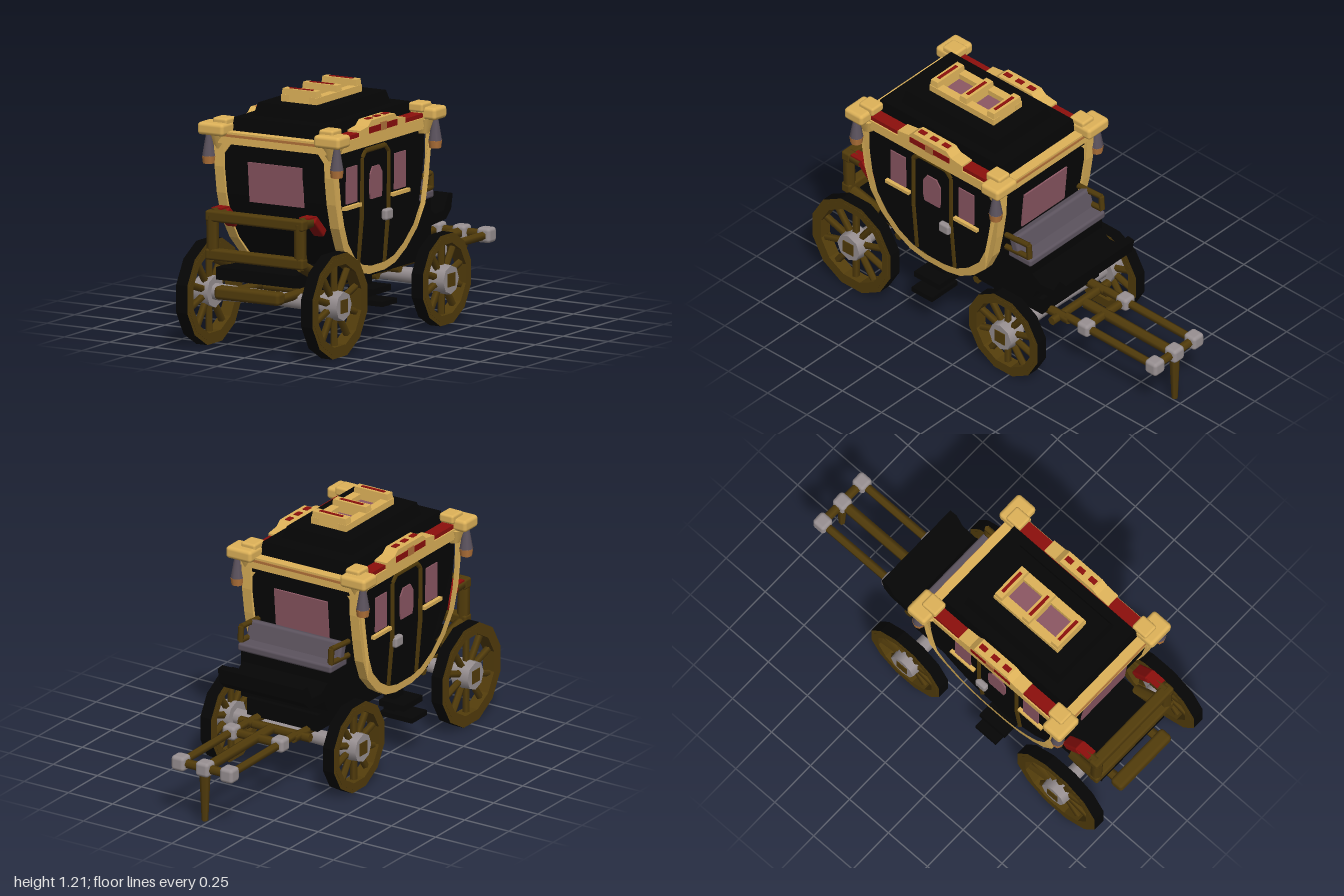
import * as THREE from 'three';
import { RoundedBoxGeometry } from 'three/addons/geometries/RoundedBoxGeometry.js';

const mat = (name, color) => Object.assign(new THREE.MeshStandardMaterial({ color }), { name });

export function createModel() {
  const root = new THREE.Group();
  root.name = 'carriage';
  const black = mat('black', 0x050505), gold = mat('gold', 0xdeb259), brown = mat('brown', 0x523c0b);
  const pink = mat('rose glass', 0x8c5763), grey = mat('grey metal', 0x989092), red = mat('red', 0x8c0f0c);
  const mauve = mat('mauve', 0x5c535e), amber = mat('amber', 0xb4743a);
  const V = (x, y, z) => new THREE.Vector3(x, y, z);

  const add = (name, geo, m, x = 0, y = 0, z = 0, parent = root) => {
    const mesh = new THREE.Mesh(geo, m);
    mesh.name = name;
    mesh.position.set(x, y, z);
    parent.add(mesh);
    return mesh;
  };
  // box given by its limits, with optional rounded edges
  const box = (name, m, x0, x1, y0, y1, z0, z1, r = 0) => {
    const size = [Math.abs(x1 - x0), y1 - y0, z1 - z0];
    const geo = r ? new RoundedBoxGeometry(...size, 2, r) : new THREE.BoxGeometry(...size);
    return add(name, geo, m, (x0 + x1) / 2, (y0 + y1) / 2, (z0 + z1) / 2);
  };
  // straight rod between two points
  const bar = (name, m, a, b, r, n = 6, parent = root, r2 = r) => {
    const d = b.clone().sub(a), mid = a.clone().add(b).multiplyScalar(0.5);
    const mesh = add(name, new THREE.CylinderGeometry(r2, r, d.length(), n), m, mid.x, mid.y, mid.z, parent);
    mesh.quaternion.setFromUnitVectors(V(0, 1, 0), d.normalize());
    return mesh;
  };
  const path = (name, m, pts, r, n = 6) => {
    for (let i = 1; i < pts.length; i++) bar(name, m, pts[i - 1], pts[i], r, n);
  };
  // extrude a (z, y) outline across x, centred on x = 0
  const across = (shape, width) => new THREE.ExtrudeGeometry(shape, { depth: width, bevelEnabled: false })
    .rotateY(-Math.PI / 2).translate(width / 2, 0, 0);
  const shapeOf = pts => new THREE.Shape(pts.map(p => new THREE.Vector2(p[0], p[1])));
  // box tapering towards its top
  const frustum = (name, m, x, y0, y1, z0, z1, kx, kz) => {
    const g = new THREE.BoxGeometry(2 * x, y1 - y0, z1 - z0), p = g.attributes.position;
    for (let i = 0; i < p.count; i++) if (p.getY(i) > 0) p.setXYZ(i, p.getX(i) * kx, p.getY(i), p.getZ(i) * kz);
    g.computeVertexNormals();
    return add(name, g, m, 0, (y0 + y1) / 2, (z0 + z1) / 2);
  };

  // cabin: black core between two gold hoops, narrowing below the waist
  const profile = [[0.74, 1], [0.735, 0.85], [0.715, 0.72], [0.68, 0.6], [0.62, 0.49], [0.54, 0.405], [0.45, 0.35], [0.36, 0.33],
    [0.22, 0.33], [0.13, 0.35], [0.04, 0.405], [-0.045, 0.49], [-0.1, 0.6], [-0.125, 0.72], [-0.145, 0.85], [-0.15, 1]];
  const scaled = k => profile.map(([z, y]) => [0.295 + (z - 0.295) * k, 0.66 + (y - 0.66) * k]);
  const taper = y => (y < 0.62 ? 1 - 0.09 * (0.62 - y) / 0.29 : 1);
  const narrow = (g, dx) => {
    const p = g.attributes.position;
    for (let i = 0; i < p.count; i++) p.setX(i, (p.getX(i) + dx) * taper(p.getY(i)));
    g.computeVertexNormals();
    return g;
  };
  add('cabin', narrow(across(shapeOf(scaled(0.97)), 0.6), 0), black);
  for (const s of [1, -1]) {
    const hoop = shapeOf(profile);
    hoop.holes.push(new THREE.Path(scaled(0.88).map(p => new THREE.Vector2(p[0], p[1]))));
    add('cabinHoop', narrow(across(hoop, 0.05), s * 0.305), gold);

    // door frame, windows, sills and handle
    const X = 0.3 * s, low = 0.3 * s * taper(0.36);
    for (const z of [0.19, 0.43]) path('doorFrame', brown, [V(low, 0.36, z), V(X, 0.62, z), V(X, 0.9, z)], 0.013, 4);
    path('doorFrame', brown, [V(X, 0.9, 0.19), V(X, 0.93, 0.22), V(X, 0.93, 0.4), V(X, 0.9, 0.43)], 0.013, 4);
    for (const z of [0.525, 0.09]) {
      box('sideWindow', pink, s * 0.298, s * 0.306, 0.7, 0.875, z - 0.048, z + 0.048);
      box('windowSill', gold, s * 0.295, s * 0.315, 0.673, 0.69, z - 0.075, z + 0.075);
    }
    const pane = shapeOf([[0.26, 0.69], [0.355, 0.69], [0.362, 0.72], [0.362, 0.81], [0.34, 0.845], [0.28, 0.845], [0.255, 0.81], [0.255, 0.72]]);
    add('doorWindow', across(pane, 0.008), pink, s * 0.303);
    box('doorHandle', grey, s * 0.295, s * 0.328, 0.57, 0.625, 0.185, 0.25, 0.012);

    // gold cornice, red coping and arched parapet
    box('sideCornice', gold, s * 0.25, s * 0.335, 0.97, 1.015, -0.15, 0.74);
    box('redCoping', red, s * 0.264, s * 0.328, 1.01, 1.035, -0.08, 0.68);
    const arch = shapeOf([[0.5, 1.015], [0.5, 1.045], [0.43, 1.055], [0.4, 1.08], [0.19, 1.08], [0.16, 1.055], [0.09, 1.045], [0.09, 1.015]]);
    add('parapet', across(arch, 0.07), gold, s * 0.3);
    box('parapetPanel', red, s * 0.33, s * 0.338, 1.02, 1.05, 0.17, 0.42);
    box('parapetBadge', amber, s * 0.333, s * 0.341, 1.018, 1.058, 0.27, 0.32);
    for (const z of [0.22, 0.295, 0.37]) box('parapetInlay', red, s * 0.287, s * 0.313, 1.078, 1.084, z - 0.02, z + 0.02);

    for (const [z, d] of [[0.735, 1], [-0.135, -1]]) {
      // corner caps and hanging lanterns
      box('cornerCap', gold, s * 0.25, s * 0.395, 1.003, 1.064, z - 0.058, z + 0.058, 0.018);
      box('cornerTop', gold, s * 0.255, s * 0.335, 1.04, 1.085, z - 0.045 - d * 0.03, z + 0.045 - d * 0.03, 0.012);
      add('cornerNeck', new THREE.CylinderGeometry(0.055, 0.03, 0.07, 8), gold, s * 0.31, 0.97, z - d * 0.025);
      const L = [s * 0.355, z + d * 0.01];
      add('lanternBase', new THREE.CylinderGeometry(0.034, 0.029, 0.036, 8), amber, L[0], 0.88, L[1]);
      add('lanternGlass', new THREE.CylinderGeometry(0.02, 0.033, 0.076, 8), mauve, L[0], 0.936, L[1]);
      add('lanternNeck', new THREE.CylinderGeometry(0.014, 0.02, 0.035, 8), mauve, L[0], 0.99, L[1]);
      // gold corner brackets of the end walls
      const tri = new THREE.ExtrudeGeometry(shapeOf([[0.29 * s, 0.97], [0.235 * s, 0.97], [0.29 * s, 0.9]]), { depth: 0.02, bevelEnabled: false });
      add('cornerBracket', tri, gold, 0, 0, z - 0.012 - d * 0.012);
    }
  }
  // end walls
  for (const [z, d] of [[0.725, 1], [-0.125, -1]]) {
    box('endCornice', gold, -0.3, 0.3, 0.965, 1.022, z - 0.025, z + 0.025);
    box('corniceStripe', amber, -0.27, 0.27, 1.0, 1.012, z + d * 0.025 - 0.004, z + d * 0.025 + 0.004);
    const w = box('endWindow', pink, -0.15, 0.15, 0.69, 0.885, -0.004, 0.004);
    w.position.z = d > 0 ? 0.716 : -0.131;
    w.rotation.x = d * 0.09;
  }

  // stepped roof and skylight crown
  frustum('lowerRoof', black, 0.262, 1.0, 1.085, -0.1, 0.7, 0.95, 0.97);
  frustum('upperRoof', black, 0.2, 1.08, 1.147, 0.0, 0.6, 0.88, 0.97);
  box('skylight', pink, -0.06, 0.06, 1.145, 1.152, 0.12, 0.49);
  for (const s of [1, -1]) box('crownRail', gold, s * 0.056, s * 0.1, 1.14, 1.18, 0.1, 0.51);
  for (const z of [0.485, 0.3, 0.125]) {
    frustum('crownBar', gold, 0.1, 1.145, 1.21, z - 0.025, z + 0.025, 0.93, 0.85);
    box('crownInlay', red, -0.065, 0.065, 1.207, 1.213, z - 0.008, z + 0.008);
  }

  // wheels
  const circle = (r, C = THREE.Shape) => new C(Array.from({ length: 12 }, (_, i) =>
    new THREE.Vector2(r * Math.cos(i * Math.PI / 6 + 0.26), r * Math.sin(i * Math.PI / 6 + 0.26))));
  const ring = (R, r, w) => {
    const c = circle(R);
    c.holes.push(circle(r, THREE.Path));
    return across(c, w);
  };
  for (const [z, R] of [[0.755, 0.257], [-0.213, 0.225]]) {
    const y = R * 0.97;
    for (const s of [1, -1]) {
      const wheel = new THREE.Group();
      wheel.name = R > 0.25 ? 'rearWheel' : 'frontWheel';
      wheel.position.set(s * 0.347, y, z);
      root.add(wheel);
      add('tyre', ring(R, R * 0.9, 0.062), [brown, black], 0, 0, 0, wheel);
      add('rim', ring(R * 0.92, R * 0.78, 0.064), brown, 0, 0, 0, wheel);
      for (let i = 0; i < 10; i++) {
        const a = (i + 0.5) * Math.PI / 5;
        bar('spoke', brown, V(0, 0, 0), V(0, Math.sin(a) * R * 0.82, Math.cos(a) * R * 0.82), 0.018, 5, wheel);
      }
      bar('hub', grey, V(-s * 0.035, 0, 0), V(s * 0.054, 0, 0), 0.078, 8, wheel, 0.07);
      add('hubCap', new THREE.BoxGeometry(0.03, 0.064, 0.064), brown, s * 0.043, 0, 0, wheel);
      bar('axle', grey, V(0, y, z), V(s * 0.32, y, z), 0.034, 8, root, 0.042);
    }
  }

  // chassis and steps
  box('floor', black, -0.2, 0.2, 0.285, 0.37, -0.3, 0.65);
  for (const s of [1, -1]) {
    bar('chassisRail', brown, V(s * 0.14, 0.28, -0.42), V(s * 0.14, 0.28, 0.94), 0.024);
    box('stepHanger', black, s * 0.2, s * 0.26, 0.2, 0.36, 0.27, 0.35);
    box('step', black, s * 0.2, s * 0.38, 0.18, 0.205, 0.24, 0.37);
    box('stepTop', black, s * 0.2, s * 0.34, 0.235, 0.265, 0.23, 0.39);
  }
  for (const z of [-0.36, -0.08, 0.12, 0.45, 0.62]) bar('chassisCross', brown, V(-0.2, 0.275, z), V(0.2, 0.275, z), 0.022);
  box('rearBumper', brown, -0.18, 0.18, 0.262, 0.325, 0.92, 0.99, 0.018);

  // luggage rack
  box('rackFloor', black, -0.22, 0.22, 0.34, 0.4, 0.6, 0.9);
  for (const s of [1, -1]) {
    const x = s * 0.243;
    path('rackSide', brown, [V(x * 0.9, 0.38, 0.72), V(x, 0.45, 0.89), V(x, 0.65, 0.895), V(x, 0.645, 0.81)], 0.03);
    const arm = box('rackArm', red, s * 0.212, s * 0.272, -0.022, 0.022, -0.062, 0.062, 0.01);
    arm.position.set(x, 0.62, 0.755);
    arm.rotation.x = -0.75;
    box('rackArmTop', red, s * 0.215, s * 0.27, 0.668, 0.676, 0.79, 0.86);
  }
  for (const y of [0.645, 0.46]) box('rackBar', brown, -0.272, 0.272, y - 0.027, y + 0.027, 0.865, 0.92, 0.012);

  // driver's seat and footboard
  box('seatBox', black, -0.25, 0.25, 0.36, 0.6, -0.275, 0.05);
  box('seatCushion', mauve, -0.265, 0.265, 0.59, 0.63, -0.285, -0.14, 0.012);
  const back = box('seatBack', mauve, -0.265, 0.265, 0.6, 0.715, -0.205, -0.155, 0.015);
  back.rotation.x = 0.3;
  const foot = [[-0.05, 0.36], [-0.05, 0.52], [-0.27, 0.54], [-0.33, 0.5], [-0.41, 0.505], [-0.43, 0.545], [-0.45, 0.58], [-0.49, 0.575], [-0.475, 0.5], [-0.43, 0.46], [-0.3, 0.45], [-0.26, 0.36]];
  add('footboard', across(shapeOf(foot), 0.48), black);
  for (const s of [1, -1]) {
    const x = s * 0.255;
    path('seatArm', brown, [V(x, 0.7, -0.12), V(x, 0.71, -0.265), V(x, 0.64, -0.27), V(x, 0.63, -0.12)], 0.015);
  }

  // shafts with grey joints and a prop leg
  for (const x of [-0.137, 0, 0.137]) {
    bar('shaft', brown, V(x, 0.29, -0.4), V(x, 0.285, -0.96), x ? 0.021 : 0.027);
    box('shaftEnd', grey, x - 0.037, x + 0.037, 0.25, 0.324, -1.0, -0.926, 0.018);
    if (x) box('shaftJoint', grey, x - 0.036, x + 0.036, 0.255, 0.325, -0.562, -0.49, 0.018);
  }
  for (const z of [-0.52, -0.965]) bar('shaftCross', brown, V(-0.137, 0.288, z), V(0.137, 0.288, z), 0.022);
  bar('propLeg', brown, V(0, 0.02, -0.965), V(0, 0.27, -0.965), 0.016, 6, root, 0.027);

  return root;
}
